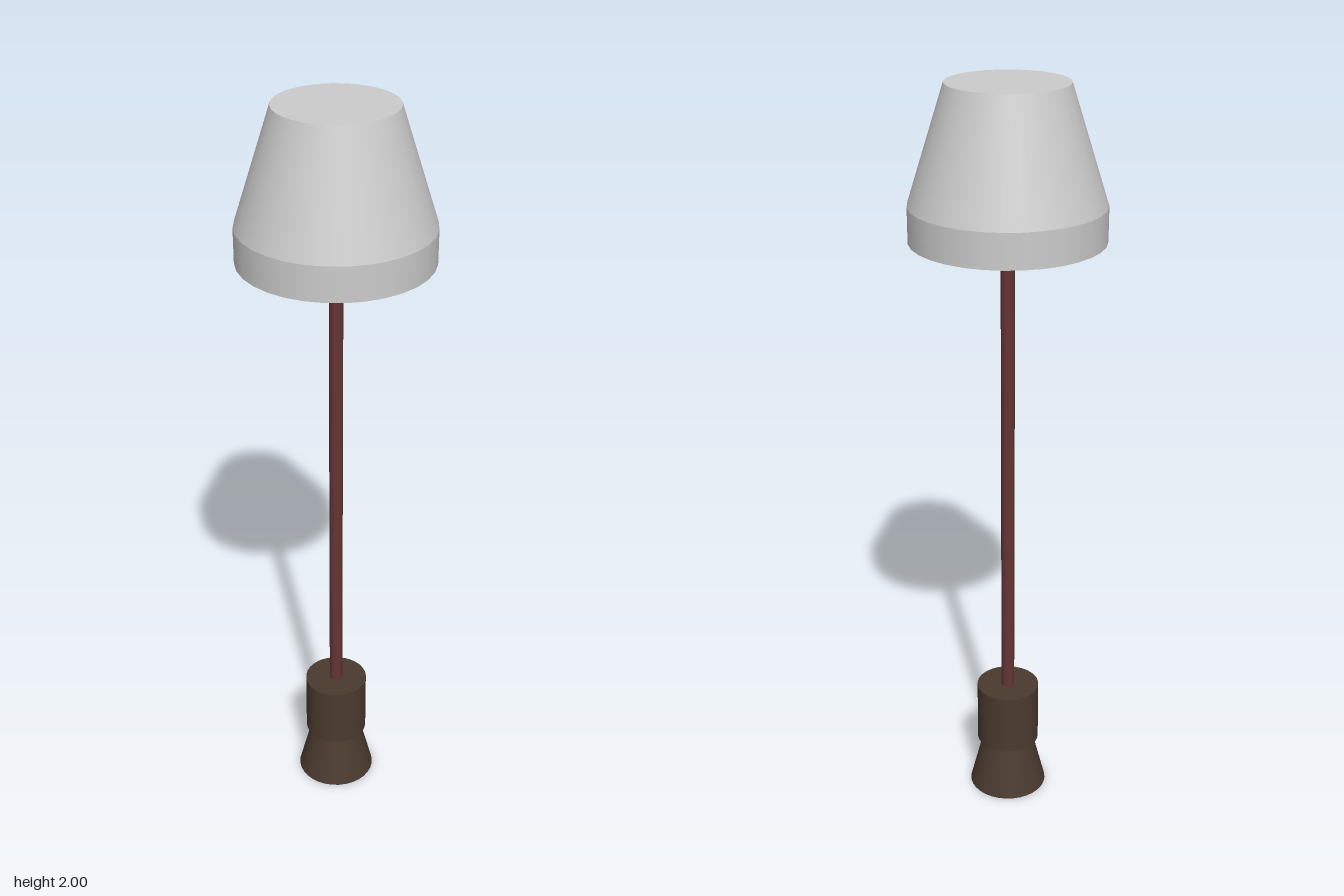
import * as THREE from 'three';

const SIDES = 32;

function material(color, side = THREE.FrontSide) {
  return new THREE.MeshStandardMaterial({ color, side });
}

// Solid of revolution standing between two heights
function drum(name, rTop, rBottom, y0, y1, mat, open = false) {
  const geo = new THREE.CylinderGeometry(rTop, rBottom, y1 - y0, SIDES, 1, open);
  geo.translate(0, (y0 + y1) / 2, 0);
  const mesh = new THREE.Mesh(geo, mat);
  mesh.name = name;
  return mesh;
}

function disc(name, radius, y, down, mat) {
  const geo = new THREE.CircleGeometry(radius, SIDES);
  geo.rotateX(down ? Math.PI / 2 : -Math.PI / 2);
  geo.translate(0, y, 0);
  const mesh = new THREE.Mesh(geo, mat);
  mesh.name = name;
  return mesh;
}

export function createModel() {
  const lamp = new THREE.Group();
  lamp.name = 'floorLamp';

  const wood = material(0x4a3a2e);
  const pole = material(0x643434);
  const cloth = material(0xcccccc, THREE.DoubleSide);

  // Base: flared foot under a wider drum
  lamp.add(drum('foot', 0.07, 0.107, 0, 0.148, wood, true));
  lamp.add(disc('footUnderside', 0.107, 0, true, pole));
  lamp.add(drum('baseDrum', 0.086, 0.086, 0.148, 0.322, wood));

  // Pole, widening into a holder inside the shade
  lamp.add(drum('pole', 0.018, 0.018, 0.32, 1.7, pole, true));
  lamp.add(drum('shadeHolder', 0.08, 0.018, 1.69, 1.99, pole, true));

  // Shade: straight rim, tapered body and flat lid, open below
  lamp.add(drum('shadeRim', 0.247, 0.247, 1.615, 1.705, cloth, true));
  lamp.add(drum('shadeBody', 0.153, 0.247, 1.705, 2, cloth, true));
  lamp.add(disc('shadeLid', 0.153, 2, false, cloth));

  return lamp;
}
